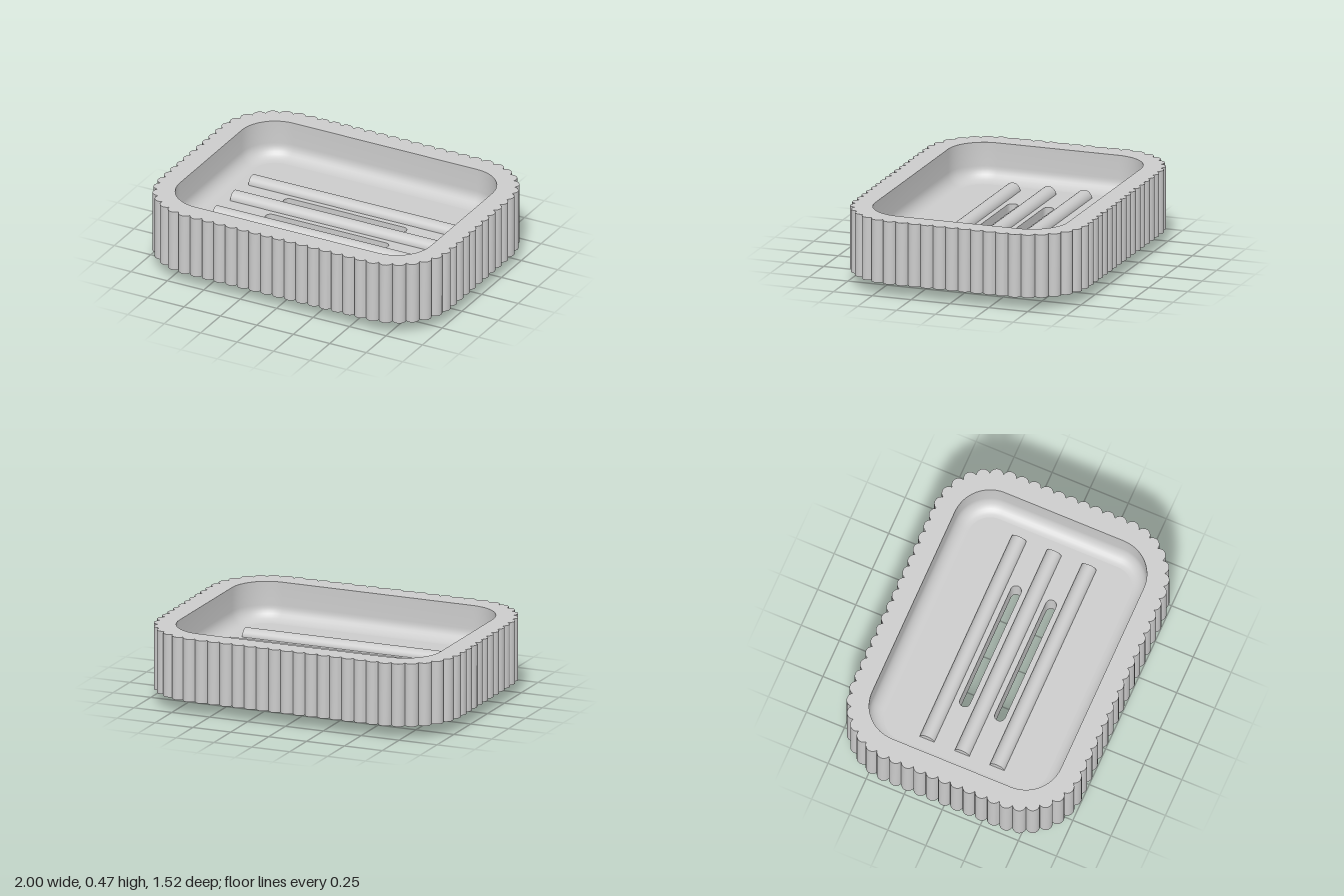
import * as THREE from 'three';
import { toCreasedNormals } from 'three/addons/utils/BufferGeometryUtils.js';

const BASE_Y = 0.08, FLOOR_Y = 0.235, RIM_Y = 0.473;
const FILLET = 0.09;

// Counter-clockwise rounded rectangle from half sizes and corner radius
function roundedLoop(hw, hd, r, steps = 12) {
  const points = [];
  [[1, 1], [-1, 1], [-1, -1], [1, -1]].forEach(([sx, sy], corner) => {
    for (let i = 0; i <= steps; i++) {
      const a = (corner + i / steps) * Math.PI / 2;
      points.push(new THREE.Vector2(
        sx * (hw - r) + r * Math.cos(a), sy * (hd - r) + r * Math.sin(a)));
    }
  });
  return points;
}

// Outline made of round ribs spaced evenly along a rounded rectangle
function ribbedLoop(hw, hd, corner, count, ribRadius, steps = 10) {
  const path = new THREE.Shape([
    new THREE.Vector2(hw, 0), ...roundedLoop(hw, hd, corner, 24), new THREE.Vector2(hw, 0)]);
  const centres = path.getSpacedPoints(count).slice(0, count);
  const valleys = centres.map((c, i) => {
    const half = centres[(i + 1) % count].clone().sub(c).multiplyScalar(0.5);
    const rise = Math.sqrt(Math.max(0, ribRadius ** 2 - half.lengthSq()));
    const out = new THREE.Vector2(half.y, -half.x).setLength(rise);
    return c.clone().add(half).add(out);
  });
  const points = [];
  centres.forEach((c, i) => {
    const start = valleys[(i + count - 1) % count].clone().sub(c).angle();
    let end = valleys[i].clone().sub(c).angle();
    if (end < start) end += Math.PI * 2;
    for (let k = 0; k < steps; k++) {
      const a = start + (end - start) * k / steps;
      points.push(new THREE.Vector2(c.x + ribRadius * Math.cos(a), c.y + ribRadius * Math.sin(a)));
    }
  });
  return points;
}

// Skin between stacked loops; listed upward it faces out, downward it faces in
function loft(rings) {
  const n = rings[0].loop.length, positions = [], index = [];
  rings.forEach(({ loop, y }) => loop.forEach(p => positions.push(p.x, y, -p.y)));
  for (let r = 0; r < rings.length - 1; r++) {
    for (let i = 0; i < n; i++) {
      const j = (i + 1) % n;
      const a = r * n + i, b = r * n + j, c = a + n, d = b + n;
      index.push(a, b, d, a, d, c);
    }
  }
  const geometry = new THREE.BufferGeometry();
  geometry.setAttribute('position', new THREE.Float32BufferAttribute(positions, 3));
  geometry.setIndex(index);
  return toCreasedNormals(geometry, 0.6);
}

// Flat horizontal face with holes
function flat(loop, holes, y, up) {
  const shape = new THREE.Shape(loop);
  shape.holes = holes.map(h => new THREE.Path(h));
  return new THREE.ShapeGeometry(shape).rotateX(up ? -Math.PI / 2 : Math.PI / 2).translate(0, y, 0);
}

export function createModel() {
  const group = new THREE.Group();
  const material = new THREE.MeshStandardMaterial({ color: 0xcccccc });
  const add = (name, geometry) => {
    const mesh = new THREE.Mesh(geometry, material);
    mesh.name = name;
    group.add(mesh);
    return mesh;
  };

  const outer = ribbedLoop(0.957, 0.717, 0.335, 76, 0.043);
  const cavity = inset => roundedLoop(0.86 - inset, 0.62 - inset, 0.23 - inset);
  const slots = [-0.115, 0.115].map(z =>
    roundedLoop(0.42, 0.033, 0.0329).map(p => p.setY(p.y + z)));

  // Ribbed outside, rim and underside
  add('ribbedWall', loft([{ loop: outer, y: BASE_Y }, { loop: outer, y: RIM_Y }]));
  add('rim', flat(outer, [cavity(0)], RIM_Y, true));
  add('underside', flat(outer, slots, BASE_Y, false));

  // Inner wall curving into the floor
  const rings = [{ loop: cavity(0), y: RIM_Y }];
  for (let i = 0; i <= 8; i++) {
    const a = i / 8 * Math.PI / 2;
    rings.push({
      loop: cavity(FILLET * (1 - Math.cos(a))),
      y: FLOOR_Y + FILLET * (1 - Math.sin(a)),
    });
  }
  add('innerWall', loft(rings));
  add('floor', flat(cavity(FILLET), slots, FLOOR_Y, true));

  // Drain slots through the floor
  slots.forEach(loop => add('drainSlot', loft([{ loop, y: FLOOR_Y }, { loop, y: BASE_Y }])));

  // Half-round ridges on the floor
  for (const z of [-0.23, 0, 0.23]) {
    const ridge = new THREE.CylinderGeometry(0.048, 0.048, 1.4, 24, 1, false, 0, Math.PI);
    add('ridge', ridge.rotateZ(Math.PI / 2)).position.set(0, FLOOR_Y, z);
  }

  // Domed feet
  for (const x of [-0.635, 0.635]) {
    for (const z of [-0.4, 0.4]) {
      const dome = new THREE.SphereGeometry(1, 40, 14, 0, Math.PI * 2, Math.PI / 2, Math.PI / 2);
      add('foot', dome.scale(0.127, BASE_Y, 0.127)).position.set(x, BASE_Y, z);
    }
  }
  return group;
}
